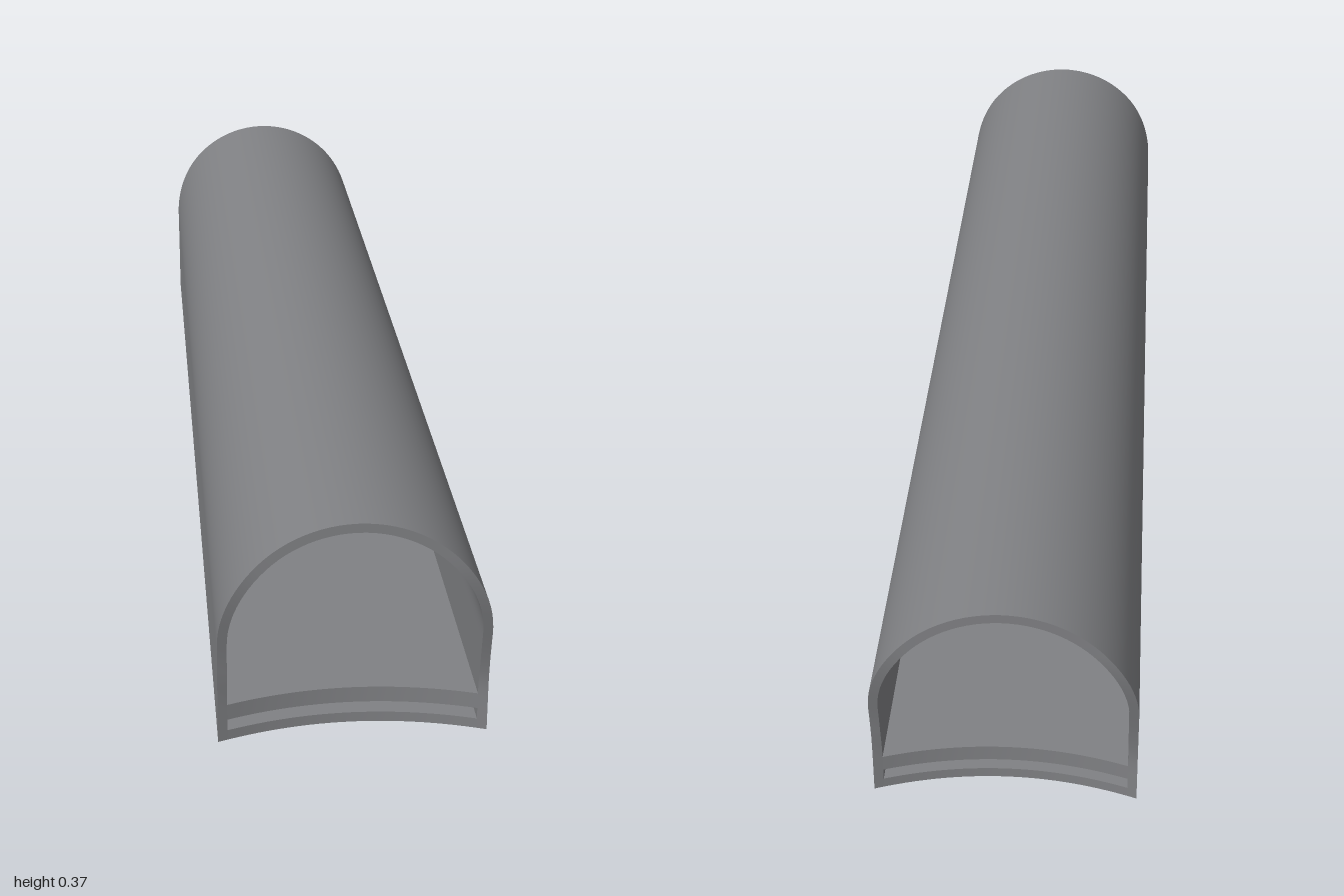
import * as THREE from 'three';
import { mergeGeometries } from 'three/addons/utils/BufferGeometryUtils.js';

const HALF = 0.197;      // outer half width, also the roof radius
const WALL = 0.014;      // shell thickness
const SPRING = 0.17;     // height where the arch begins
const { smoothstep } = THREE.MathUtils;

// Distance of the shaped end from the middle: the roof overhangs the walls,
// and the floor is cut back in a shallow concave arc.
function endAt(x, y) {
  const overhang = 0.037 * smoothstep(y, 0.07, 0.3);
  const dip = 0.037 * (1 - (x / HALF) ** 2) * (1 - smoothstep(y, 0.06, 0.12));
  return 0.952 + overhang - dip;
}

const place = (points, side) => points.map(([x, y]) => [x, y, side * endAt(x, y)]);

// Smooth strip of quads between two rows of points
function sheet(a, b) {
  const n = a.length;
  const index = [];
  for (let i = 0; i < n - 1; i++) index.push(i, i + 1, n + i + 1, i, n + i + 1, n + i);
  const g = new THREE.BufferGeometry();
  g.setAttribute('position', new THREE.Float32BufferAttribute([...a, ...b].flat(), 3));
  g.setIndex(index);
  g.computeVertexNormals();
  return g;
}

// Solid running front to back between an upper/outer and a lower/inner line
function channel(outer, inner) {
  const of = place(outer, 1), ob = place(outer, -1);
  const nf = place(inner, 1), nb = place(inner, -1);
  const e = outer.length - 1;
  return mergeGeometries([
    sheet(of, ob),
    sheet(nb, nf),
    sheet(nf, of),
    sheet(ob, nb),
    sheet([ob[0], nb[0]], [of[0], nf[0]]),
    sheet([nb[e], ob[e]], [nf[e], of[e]]),
  ]);
}

// Arch line from the left foot over the crown to the right foot
function archLine(r) {
  const pts = [];
  const steps = 10, arc = 48;
  for (let i = 0; i < steps; i++) pts.push([-r, (SPRING * i) / steps]);
  for (let i = 0; i <= arc; i++) {
    const a = Math.PI * (1 - i / arc);
    pts.push([r * Math.cos(a), SPRING + r * Math.sin(a)]);
  }
  for (let i = steps - 1; i >= 0; i--) pts.push([r, (SPRING * i) / steps]);
  return pts;
}

// Level line across the inside width
function floorLine(y) {
  const w = HALF - WALL;
  return Array.from({ length: 25 }, (_, i) => [-w + (2 * w * i) / 24, y]);
}

export function createModel() {
  const grey = new THREE.MeshStandardMaterial({ color: 0x808184 });
  grey.name = 'grey';

  const model = new THREE.Group();
  model.name = 'archedChannel';
  const add = (name, geometry) => {
    const mesh = new THREE.Mesh(geometry, grey);
    mesh.name = name;
    model.add(mesh);
  };

  add('archedShell', channel(archLine(HALF), archLine(HALF - WALL)));
  // Two floor plates with a slot between them
  add('bottomPlate', channel(floorLine(0.016), floorLine(0)));
  add('upperFloor', channel(floorLine(0.059), floorLine(0.034)));

  // The whole length sits at a slight angle
  model.rotation.y = THREE.MathUtils.degToRad(8);
  const root = new THREE.Group();
  root.name = 'model';
  root.add(model);
  return root;
}
